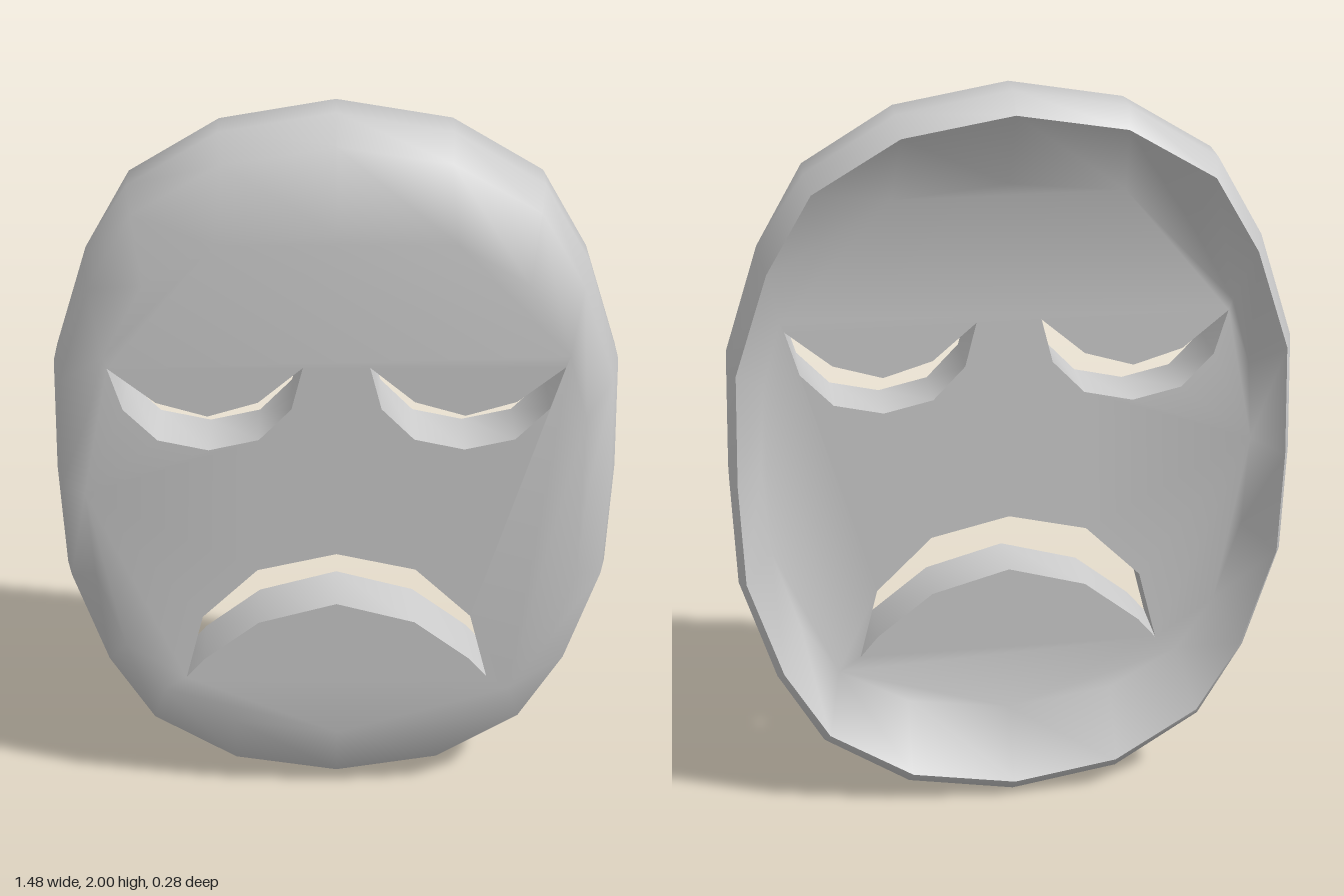
import * as THREE from 'three';
import { mergeGeometries, toCreasedNormals } from 'three/addons/utils/BufferGeometryUtils.js';

const FRONT = 0.14, BACK = -0.02;

// Right half outlines from top to bottom
const outerHalf = [[0, 2], [0.29, 1.95], [0.52, 1.81], [0.64, 1.6], [0.73, 1.32], [0.74, 1],
  [0.73, 0.7], [0.64, 0.41], [0.52, 0.2], [0.29, 0.05], [0, 0]];
const faceHalf = [[0, 1.74], [0.3, 1.71], [0.48, 1.6], [0.59, 1.4], [0.64, 1.22], [0.655, 1],
  [0.64, 0.75], [0.57, 0.52], [0.47, 0.37], [0.28, 0.26], [0, 0.22]];

// Openings, clockwise from the front
const eye = [[0.085, 1.37], [0.2, 1.27], [0.33, 1.23], [0.46, 1.27], [0.58, 1.37],
  [0.545, 1.25], [0.46, 1.16], [0.33, 1.13], [0.2, 1.16], [0.115, 1.25]];
const mouth = [[-0.41, 0.41], [-0.36, 0.61], [-0.21, 0.76], [0, 0.81], [0.21, 0.76], [0.36, 0.61],
  [0.41, 0.41], [0.36, 0.47], [0.21, 0.59], [0, 0.65], [-0.21, 0.59], [-0.36, 0.47]];

const mirror = (pts) => pts.map(([x, y]) => [-x, y]);
const closeLoop = (half) => [...[...half].reverse(), ...mirror(half.slice(1, -1))];
const atZ = (pts, z) => pts.map(([x, y]) => [x, y, z]);
const vectors = (pts) => pts.map(([x, y]) => new THREE.Vector2(x, y));

function fromPositions(positions) {
  const g = new THREE.BufferGeometry();
  g.setAttribute('position', new THREE.Float32BufferAttribute(positions, 3));
  return g;
}

// Strip of quads joining two closed loops
function band(a, b) {
  const p = [];
  a.forEach((_, i) => {
    const j = (i + 1) % a.length;
    p.push(...a[i], ...b[i], ...b[j], ...a[i], ...b[j], ...a[j]);
  });
  return fromPositions(p);
}

// Flat face with openings; the back one is turned over
function plate(outline, holes, z, flip) {
  const shape = new THREE.Shape(vectors(outline));
  shape.holes = holes.map((h) => new THREE.Path(vectors(h)));
  const src = new THREE.ShapeGeometry(shape).toNonIndexed().getAttribute('position');
  const p = [];
  for (let i = 0; i < src.count; i += 3) {
    for (const k of flip ? [0, 2, 1] : [0, 1, 2]) p.push(src.getX(i + k), src.getY(i + k), z);
  }
  return fromPositions(p);
}

export function createModel() {
  const group = new THREE.Group();
  group.name = 'sadMask';
  const material = new THREE.MeshStandardMaterial({ color: 0xcccccc });

  const outer = closeLoop(outerHalf);
  const face = closeLoop(faceHalf);
  const inset = outer.map(([x, y]) => [x * 0.973, 1 + (y - 1) * 0.95]);
  const holes = [eye, mirror(eye).reverse(), mouth];

  // Shell: rounded side, thin back rim, then the hollow inside
  const rings = [atZ(face, FRONT), atZ(inset, 0.09), atZ(outer, 0), atZ(outer, -0.09),
    atZ(inset, -0.14), atZ(face, BACK)];
  const parts = rings.slice(1).map((r, i) => band(rings[i], r));
  parts.push(plate(face, holes, FRONT, false), plate(face, holes, BACK, true));
  const shell = new THREE.Mesh(toCreasedNormals(mergeGeometries(parts), 1.1), material);
  shell.name = 'maskShell';
  group.add(shell);

  // Walls through the thickness of each opening
  ['leftEyeRim', 'rightEyeRim', 'mouthRim'].forEach((name, i) => {
    const wall = band(atZ(holes[i], FRONT), atZ(holes[i], BACK));
    const mesh = new THREE.Mesh(toCreasedNormals(wall, 0.7), material);
    mesh.name = name;
    group.add(mesh);
  });
  return group;
}
